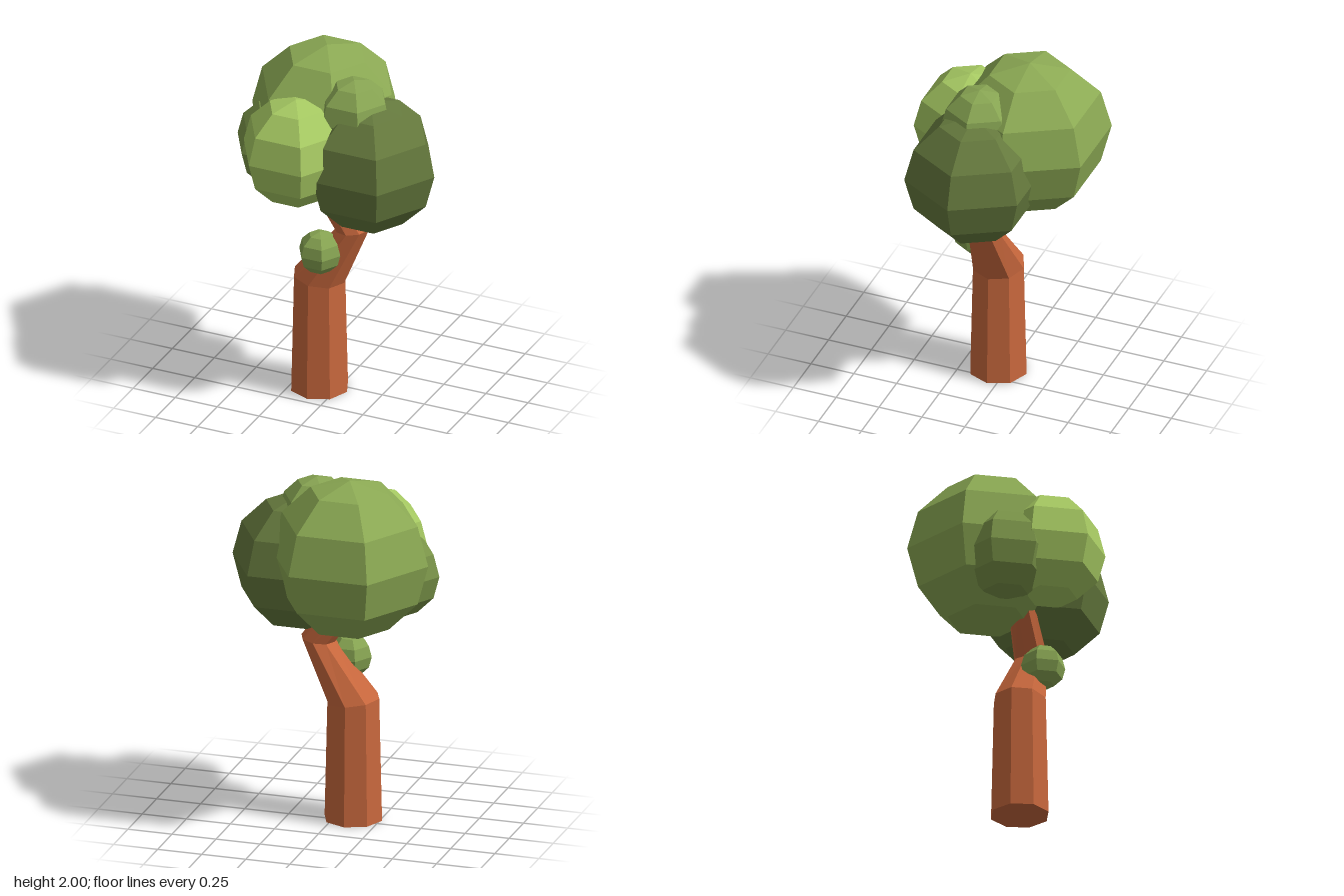
import * as THREE from 'three';

// Bent octagonal trunk: a cylinder whose rings are moved onto a crooked spine
function makeTrunk() {
  // x, y, radius, tilt (rise per unit x)
  const rings = [
    [-0.10, 0, 0.163, 0],
    [-0.10, 0.682, 0.147, -0.12],
    [0.10, 1.01, 0.094, 0.12],
    [-0.07, 1.25, 0.075, 0.5],
  ];
  const geo = new THREE.CylinderGeometry(1, 1, 3, 8, 3);
  const pos = geo.attributes.position;
  for (let i = 0; i < pos.count; i++) {
    const [cx, cy, r, tilt] = rings[Math.round(pos.getY(i) + 1.5)];
    const dx = pos.getX(i) * r;
    pos.setXYZ(i, cx + dx, cy + dx * tilt, 0.05 + pos.getZ(i) * r);
  }
  geo.computeVertexNormals();
  const mesh = new THREE.Mesh(geo, new THREE.MeshStandardMaterial({ color: 0xc9683d, flatShading: true }));
  mesh.name = 'trunk';
  return mesh;
}

// Faceted ball of leaves with six sides and six bands
function makeFoliage(name, x, y, z, r, color) {
  const mesh = new THREE.Mesh(
    new THREE.SphereGeometry(r, 6, 6),
    new THREE.MeshStandardMaterial({ color, flatShading: true })
  );
  mesh.position.set(x, y, z);
  mesh.name = name;
  return mesh;
}

export function createModel() {
  const tree = new THREE.Group();
  tree.name = 'tree';
  tree.add(makeTrunk());

  // Crown clumps and the small tuft on the bend of the trunk
  const clumps = [
    ['mainFoliage', -0.135, 1.555, -0.12, 0.445, 0x8caa54],
    ['leftFoliage', 0.21, 1.44, 0.065, 0.38, 0x65793d],
    ['frontFoliage', -0.155, 1.52, 0.235, 0.31, 0xa6c962],
    ['rightFoliage', -0.34, 1.44, 0.045, 0.25, 0x7b9549],
    ['topFoliage', 0.115, 1.717, 0.07, 0.213, 0x87a452],
    ['trunkTuft', -0.045, 0.89, 0.165, 0.122, 0x87a452],
  ];
  for (const c of clumps) tree.add(makeFoliage(...c));
  return tree;
}
